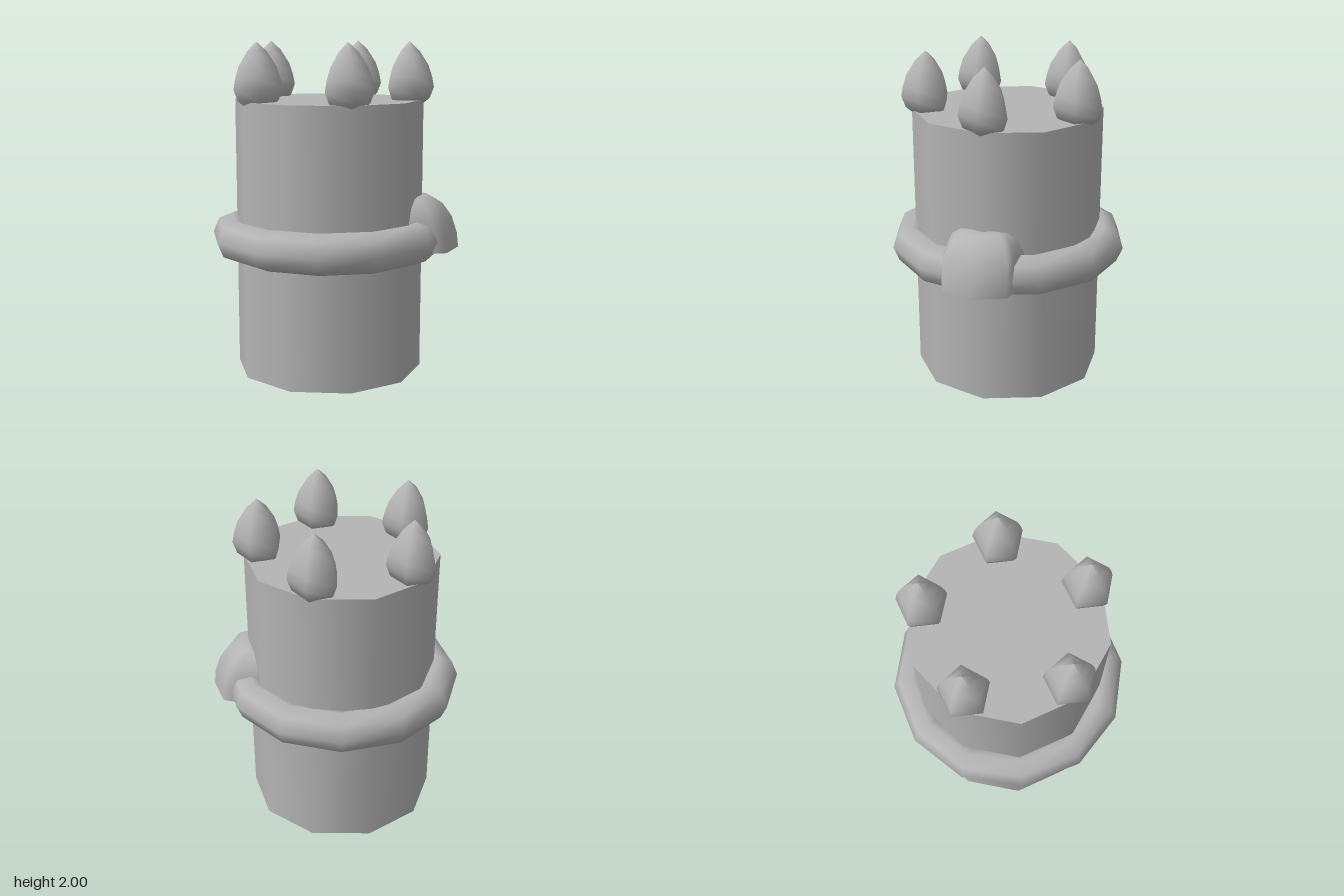
import * as THREE from 'three';

const CENTRE_X = -0.04;

// Skin made of stacked half-oval sections: each row is [y, front x, half width]
function domeSkin(rows) {
  const backX = 0.4;
  const outline = [[0, -1], [0.22, -1], [0.59, -0.9], [0.79, -0.81], [1, 0], [0.79, 0.81], [0.59, 0.9], [0.22, 1], [0, 1]];
  const n = outline.length;
  const positions = [];
  const index = [];
  rows.forEach(([y, frontX, w], i) => {
    for (const [u, v] of outline) positions.push(backX + u * (frontX - backX), y, v * w);
    if (i === 0) return;
    for (let j = 0; j < n; j++) {
      const a = (i - 1) * n + j;
      const b = (i - 1) * n + (j + 1) % n;
      index.push(a, a + n, b, b, a + n, b + n);
    }
  });
  const geometry = new THREE.BufferGeometry();
  geometry.setAttribute('position', new THREE.Float32BufferAttribute(positions, 3));
  geometry.setIndex(index);
  geometry.computeVertexNormals();
  return geometry;
}

export function createModel() {
  const model = new THREE.Group();
  const grey = new THREE.MeshStandardMaterial({ color: 0xb4b4b4 });
  grey.name = 'plain grey';

  const add = (name, geometry, x = 0, y = 0, z = 0) => {
    const mesh = new THREE.Mesh(geometry, grey);
    mesh.name = name;
    mesh.position.set(x, y, z);
    model.add(mesh);
    return mesh;
  };

  // Ten-sided column with a corner on the x axis
  add('column', new THREE.CylinderGeometry(0.57, 0.57, 1.655, 10, 1, false, Math.PI / 2), CENTRE_X, 1.655 / 2, 0);

  // Ring around the middle
  add('ring', new THREE.TorusGeometry(0.599, 0.121, 8, 12).rotateX(Math.PI / 2), CENTRE_X, 0.83, 0);

  // Domed boss on the side of the ring, with a flat underside
  add('boss', domeSkin([
    [0.76, 0.755, 0.235],
    [0.85, 0.745, 0.235],
    [0.95, 0.712, 0.23],
    [1.03, 0.655, 0.195],
    [1.07, 0.59, 0.145],
    [1.08, 0.54, 0.09],
    [1.08, 0.4, 0],
  ]));
  add('bossUnderside', domeSkin([[0.76, 0.4, 0], [0.76, 0.755, 0.235]]));

  // Five pointed buds around the top rim
  const budProfile = [
    [0, 1.615], [0.075, 1.625], [0.125, 1.665], [0.149, 1.73],
    [0.138, 1.79], [0.115, 1.86], [0.06, 1.945], [0, 2],
  ].map(([r, y]) => new THREE.Vector2(r, y));
  const budGeometry = new THREE.LatheGeometry(budProfile, 5, Math.PI / 2);
  for (let i = 0; i < 5; i++) {
    const angle = (i * Math.PI * 2) / 5;
    add('bud' + (i + 1), budGeometry, CENTRE_X + 0.481 * Math.cos(angle), 0, 0.481 * Math.sin(angle));
  }

  return model;
}
